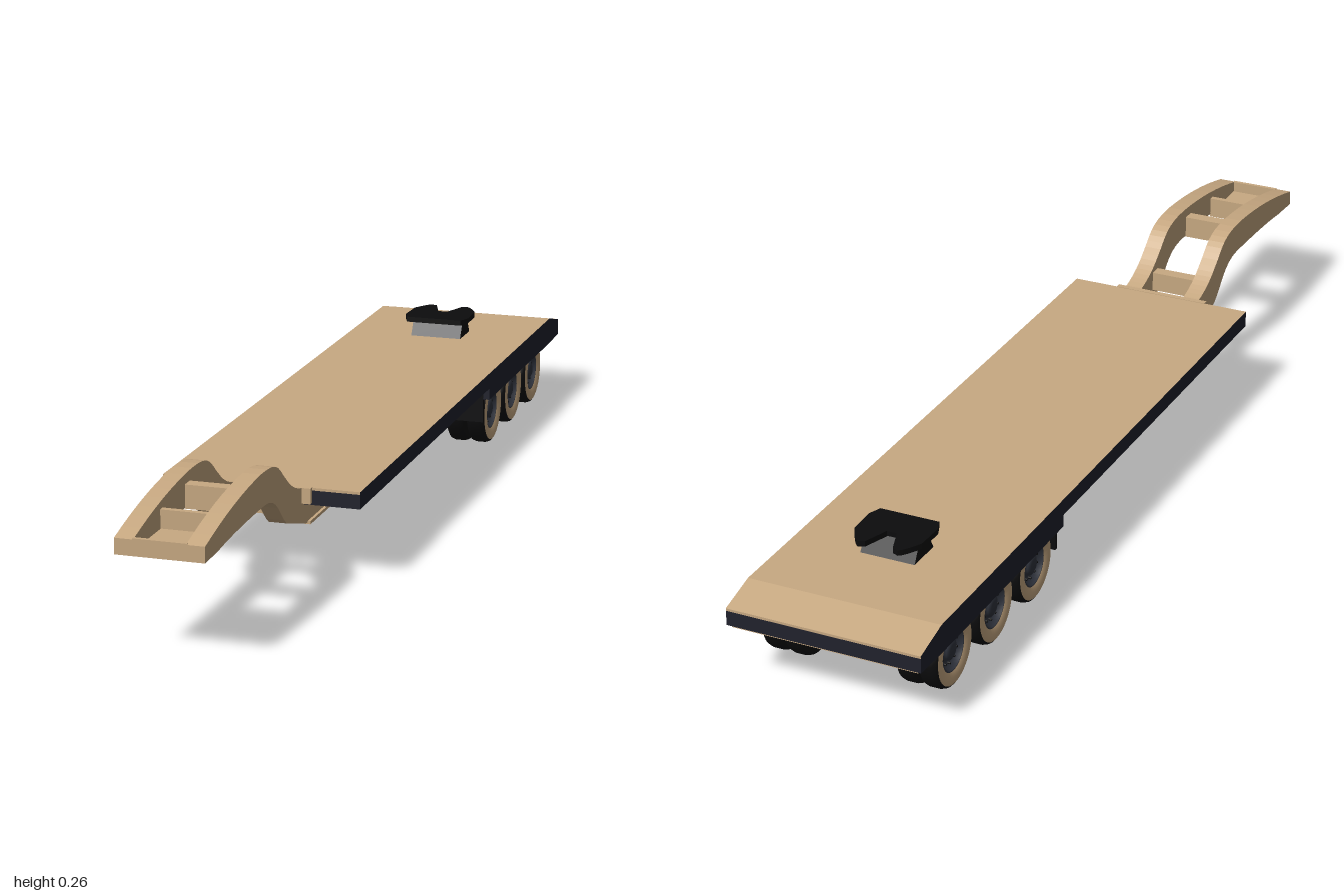
import * as THREE from 'three';

const mat = (name, color, side = THREE.FrontSide) => {
  const m = new THREE.MeshStandardMaterial({ color, side });
  m.name = name;
  return m;
};

export function createModel() {
  const root = new THREE.Group();
  root.name = 'lowLoaderTrailer';
  const tan = mat('sandPaint', 0xc8a982, THREE.DoubleSide);
  const navy = mat('darkSkirt', 0x20222d);
  const black = mat('black', 0x0c0c0d, THREE.DoubleSide);
  const steel = mat('hubSteel', 0x30343e, THREE.DoubleSide);

  const add = (name, geo, material, x = 0, y = 0, z = 0, parent = root) => {
    const m = new THREE.Mesh(geo, material);
    m.name = name;
    m.position.set(x, y, z);
    parent.add(m);
    return m;
  };
  const box = (name, material, w, h, d, x, y, z, parent) =>
    add(name, new THREE.BoxGeometry(w, h, d), material, x, y, z, parent);
  const tube = (name, material, r, len, x, y, z, n = 16) =>
    add(name, new THREE.CylinderGeometry(r, r, len, n).rotateZ(Math.PI / 2), material, x, y, z);
  // Side profile in (z, y), extruded across x and centred
  const slab = (shape, width) => new THREE.ExtrudeGeometry(shape, { depth: width, bevelEnabled: false, curveSegments: 8 })
    .rotateY(-Math.PI / 2).translate(width / 2, 0, 0);
  const poly = pts => new THREE.Shape(pts.map(p => new THREE.Vector2(...p)));

  // Deck: tan skin over a dark body, sloping down at the tail
  add('deckSkin', slab(poly([[0.475, 0.167], [0.475, 0.172], [-0.92, 0.172], [-1, 0.152], [-1, 0.147], [-0.92, 0.167]]), 0.386), [navy, tan]);
  add('deckBody', slab(poly([[0.475, 0.139], [0.475, 0.167], [-0.92, 0.167], [-1, 0.147], [-1, 0.118],
    [-0.92, 0.115], [-0.42, 0.115], [-0.42, 0.139]]), 0.386), navy);
  box('tailUnderside', tan, 0.37, 0.004, 0.07, 0, 0.115, -0.96);
  box('deckUnderside', black, 0.37, 0.004, 0.88, 0, 0.138, 0.02);
  box('frontCrossmember', tan, 0.2, 0.03, 0.012, 0, 0.158, 0.479);

  // Main beams with the curved gooseneck
  const beam = new THREE.Shape();
  beam.moveTo(1, 0.187);
  beam.lineTo(1, 0.217);
  beam.quadraticCurveTo(0.85, 0.257, 0.71, 0.263);
  beam.bezierCurveTo(0.61, 0.265, 0.61, 0.24, 0.57, 0.213);
  beam.quadraticCurveTo(0.53, 0.18, 0.475, 0.171);
  beam.lineTo(0.44, 0.165);
  beam.lineTo(-0.42, 0.165);
  beam.lineTo(-0.42, 0.097);
  beam.lineTo(0.46, 0.097);
  beam.lineTo(0.57, 0.13);
  beam.bezierCurveTo(0.61, 0.155, 0.62, 0.198, 0.69, 0.2);
  beam.quadraticCurveTo(0.85, 0.199, 0.93, 0.19);
  const beamGeo = slab(beam, 0.035);
  for (const s of [-1, 1]) {
    add('mainBeam', beamGeo, tan, s * 0.0655, 0, 0);
    box('beamFlange', tan, 0.046, 0.006, 0.86, s * 0.0655, 0.096, 0.02);
    box('rearFrameRail', black, 0.035, 0.045, 0.5, s * 0.0655, 0.105, -0.67);
  }
  box('neckRungFront', tan, 0.1, 0.045, 0.026, 0, 0.22, 0.733);
  box('neckRungRear', tan, 0.1, 0.04, 0.026, 0, 0.165, 0.557);
  box('couplerPlate', tan, 0.1, 0.008, 0.14, 0, 0.193, 0.93);
  box('noseBar', tan, 0.1, 0.032, 0.008, 0, 0.203, 0.996);
  box('couplerBackBar', tan, 0.1, 0.035, 0.012, 0, 0.215, 0.863);
  add('kingpin', new THREE.CylinderGeometry(0.008, 0.01, 0.016, 16), tan, 0, 0.182, 0.93);
  for (const z of [0.3, 0.08, -0.14, -0.36]) box('underCrossmember', black, 0.1, 0.02, 0.02, 0, 0.126, z);

  // Wheels: dark tread, pale outer sidewall on the outermost tyre, bolted hub
  const lathe = pts => new THREE.LatheGeometry(pts.map(p => new THREE.Vector2(...p)), 36).rotateZ(-Math.PI / 2);
  const treadGeo = lathe([[0.042, -0.016], [0.052, -0.021], [0.063, -0.02], [0.07, -0.016], [0.0725, -0.008],
    [0.0725, 0.008], [0.07, 0.016], [0.066, 0.019]]);
  const wallGeo = lathe([[0.066, 0.019], [0.063, 0.02], [0.052, 0.021], [0.042, 0.016]]);
  const rimGeo = lathe([[0.042, 0.016], [0.039, 0.016], [0.036, 0.004], [0.022, 0.004], [0.02, 0.012], [0.012, 0.016], [0, 0.016]]);
  const boltGeo = new THREE.CylinderGeometry(0.0022, 0.0022, 0.006, 6).rotateZ(Math.PI / 2);
  const wheel = (side, x, z, outer) => {
    const g = new THREE.Group();
    g.name = outer ? 'outerWheel' : 'innerWheel';
    g.position.set(side * x, 0.0725, z);
    if (side < 0) g.rotation.y = Math.PI;
    add('tyreTread', treadGeo, black, 0, 0, 0, g);
    add('tyreSidewall', wallGeo, outer ? tan : black, 0, 0, 0, g);
    add('rim', rimGeo, outer ? steel : black, 0, 0, 0, g);
    if (outer) for (let i = 0; i < 10; i++) {
      const a = i * Math.PI / 5;
      add('wheelBolt', boltGeo, black, 0.007, 0.029 * Math.cos(a), 0.029 * Math.sin(a), g);
    }
    root.add(g);
  };
  for (const z of [-0.508, -0.674, -0.84]) {
    tube('axle', black, 0.011, 0.3, 0, 0.0725, z);
    for (const s of [-1, 1]) {
      wheel(s, 0.158, z, true);
      wheel(s, 0.113, z, false);
      // Suspension on each axle end
      box('leafSpring', black, 0.016, 0.01, 0.12, s * 0.07, 0.087, z);
      box('springClamp', black, 0.022, 0.032, 0.026, s * 0.07, 0.074, z);
      box('springHanger', black, 0.02, 0.045, 0.016, s * 0.07, 0.097, z + 0.083);
    }
    tube('frameTie', black, 0.005, 0.13, 0, 0.105, z + 0.06);
  }
  for (const s of [-1, 1]) box('mudPlate', black, 0.09, 0.06, 0.008, s * 0.135, 0.095, -0.424);

  // Turntable coupling on the rear deck, its two horns pointing aft
  const plate = new THREE.Shape();
  plate.moveTo(-0.06, 0.665);
  plate.lineTo(0.06, 0.665);
  plate.lineTo(0.07, 0.69);
  plate.lineTo(0.068, 0.75);
  plate.quadraticCurveTo(0.05, 0.785, 0.04, 0.79);
  plate.lineTo(0.028, 0.785);
  plate.lineTo(0.01, 0.735);
  plate.lineTo(-0.01, 0.735);
  plate.lineTo(-0.028, 0.785);
  plate.lineTo(-0.04, 0.79);
  plate.quadraticCurveTo(-0.05, 0.785, -0.068, 0.75);
  plate.lineTo(-0.07, 0.69);
  const plateGeo = new THREE.ExtrudeGeometry(plate, { depth: 0.011, bevelEnabled: false, curveSegments: 6 }).rotateX(-Math.PI / 2);
  add('couplingPlate', plateGeo, black, 0, 0.206, 0);
  add('couplingPedestal', slab(poly([[-0.68, 0.171], [-0.70, 0.207], [-0.735, 0.207], [-0.755, 0.171]]), 0.11), black);
  return root;
}
